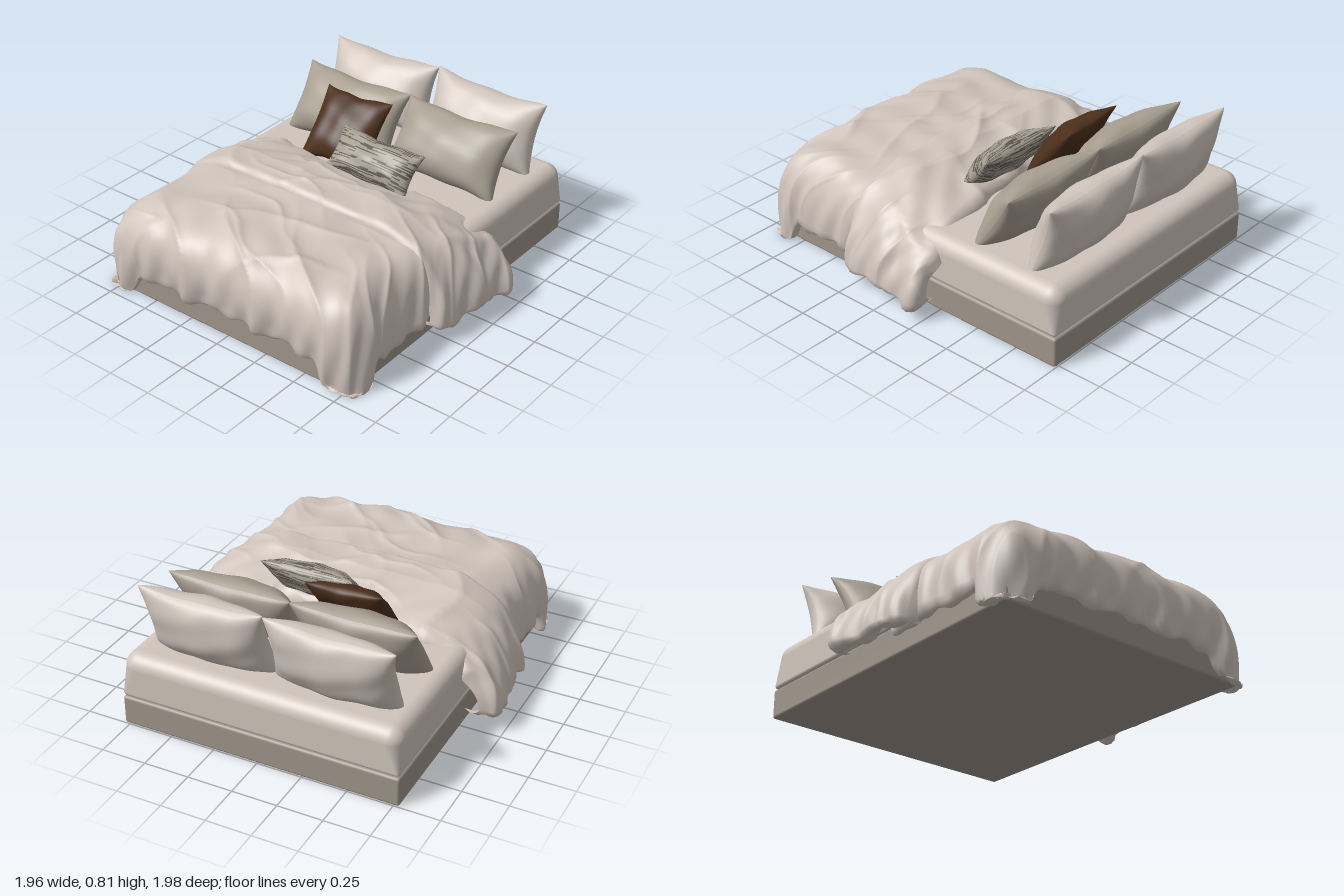
import * as THREE from 'three';
import { mergeGeometries } from 'three/addons/utils/BufferGeometryUtils.js';
import { RoundedBoxGeometry } from 'three/addons/geometries/RoundedBoxGeometry.js';

const { abs, sin, cos, min, max, pow, sign, sqrt, PI } = Math;

const paint = (name, color, side = THREE.FrontSide) => {
  const m = new THREE.MeshStandardMaterial({ color, side });
  m.name = name;
  return m;
};

// Indexed grid surface; fn(u, v) with u, v in 0..1 returns [x, y, z]
function surface(nu, nv, fn) {
  const pos = [], idx = [];
  for (let j = 0; j <= nv; j++)
    for (let i = 0; i <= nu; i++) pos.push(...fn(i / nu, j / nv));
  for (let j = 0; j < nv; j++)
    for (let i = 0; i < nu; i++) {
      const a = j * (nu + 1) + i, b = a + 1, d = a + nu + 1, c = d + 1;
      idx.push(a, b, c, a, c, d);
    }
  const g = new THREE.BufferGeometry();
  g.setAttribute('position', new THREE.Float32BufferAttribute(pos, 3));
  g.setIndex(idx);
  g.computeVertexNormals();
  return g;
}

// Push vertices along their normals to form soft folds
function wrinkle(g, rule) {
  const p = g.attributes.position, n = g.attributes.normal;
  for (let i = 0; i < p.count; i++) {
    const x = p.getX(i), y = p.getY(i), z = p.getZ(i), d = rule(x, y, z);
    p.setXYZ(i, x + n.getX(i) * d, max(0, y + n.getY(i) * d), z + n.getZ(i) * d);
  }
  g.computeVertexNormals();
  return g;
}

// Meandering creases plus pleats that deepen towards the hem
const crease = (t) => pow(1 - abs(sin(t)), 3);
function folds(x, y, z) {
  const w = z + 0.16 * sin(2.6 * x + 1) + 0.05 * sin(8 * x + 5 * z);
  const q = x + 0.22 * sin(3 * z + 0.6) + 0.04 * sin(11 * z);
  const low = min(1, max(0, (0.5 - y) / 0.3));
  return 0.018 * crease(9 * w + 3 * x) * (0.5 + 0.5 * sin(5 * q))
    + 0.018 * crease(7 * q - 4 * z) * (0.5 + 0.5 * sin(6 * w + 2))
    + 0.012 * crease(13 * w - 8 * x + 1) * (0.5 + 0.5 * sin(7 * q + 1))
    + 0.005 * sin(17 * w - 7 * x) + 0.004 * sin(25 * q + 11 * z)
    + low * (0.007 * sin(27 * (x + z) + 6 * y) + 0.006 * sin(43 * (z - x) + 9 * y)) - 0.007;
}

// Quarter superellipse: r = 0 on top, r = 1 at the hem; gives [outward, drop] as fractions
const bend = (r, n) => {
  const t = min(1, r) * PI / 2;
  return [pow(sin(t), 2 / n), 1 - pow(max(0, cos(t)), 2 / n)];
};

// Lower duvet, draped over the foot and both sides, its corners reaching the floor
function duvetGeometry() {
  return wrinkle(surface(130, 140, (u, v) => {
    const s = v * 2 - 1, e = abs(s);
    const a = min(1, max(0, (e - 0.42) / 0.54)), b = min(1, max(0, (u - 0.5) / 0.46));
    const ca = max(0, (e - 0.96) / 0.04), cb = max(0, (u - 0.96) / 0.04);
    const r = pow(pow(a, 2.5) + pow(b, 2.5), 0.4), k = pow(pow(a, 5) + pow(b, 5), 0.2) || 1;
    const [o, d] = bend(r, 2.8), out = o * (1 + 0.2 * max(0, r - 1));
    const lobe = THREE.MathUtils.smoothstep(min(a, b), 0.12, 0.45);
    const flat = 0.52 * min(1, e / 0.42);
    const x = flat + 0.31 * out * a / k - 0.06 * ca;
    const z = 0.1 + 0.6 * min(1, u / 0.5) + (0.29 * out - 0.04 * d * d) * b / k - 0.06 * cb;
    const hem = 0.12 + 0.025 * b - 0.135 * lobe;
    const top = 0.54 - 0.08 * flat * flat;
    const y = top - (top - hem) * d - 0.02 * sin(max(ca, cb) * PI)
      + d * 0.01 * sin(19 * x + 14 * z);
    return [sign(s) * x, max(0.008, y), z];
  }), folds);
}

// Turned-back upper half of the duvet, wider and thicker
function foldedGeometry() {
  return wrinkle(surface(72, 140, (u, v) => {
    const s = v * 2 - 1, e = abs(s);
    const t = min(1, min(u, 1 - u) / 0.1), puff = 1 - sqrt(1 - (1 - t) * (1 - t));
    const back = -0.15 - 0.11 * min(1, e * 1.5);
    const z = back + (0.33 - back) * u;
    const [o, d] = bend(max(0, (e - 0.4) / 0.53), 2.05), c = max(0, (e - 0.93) / 0.07);
    const top = 0.572 - 0.33 * max(0, 0.13 - z) - 0.07 * puff;
    const hem = 0.095 + 0.015 * sin(17 * z + s) + 0.02 * puff;
    const R = 0.51 - 0.12 * max(0, z + 0.1) - 0.08 * puff;
    const x = 0.45 * min(1, e / 0.4) + R * o - 0.08 * c;
    return [sign(s) * x, top - (top - hem) * d - 0.02 * sin(c * PI), z];
  }), folds);
}

// Mattress: plump upper edge, tight lower edge
function mattressGeometry(w, h, l, r, tight) {
  const g = new RoundedBoxGeometry(w, h, l, 6, r), p = g.attributes.position;
  const squeeze = (c, size) =>
    sign(c) * (size / 2 - tight + (abs(c) - size / 2 + r) * tight / r);
  for (let i = 0; i < p.count; i++)
    if (p.getY(i) < 0)
      p.setXYZ(i, squeeze(p.getX(i), w), squeeze(p.getY(i), h), squeeze(p.getZ(i), l));
  return g;
}

// Stuffed cushion with pulled-in edges, pointed corners and a fuller lower front
function cushionGeometry(w, h, d, nu, nv, seed) {
  const half = (f) => surface(nu, nv, (i, j) => {
    const u = f * sin((i - 0.5) * PI), v = sin((j - 0.5) * PI);
    const pu = 1 - u * u, pv = 1 - v * v;
    const soft = 0.007 * sin(6 * u + 3 * v + seed) * sin(4 * v - 3 * u + seed) * min(1, 3 * pu * pv);
    const full = d / 2 * (1 + 0.12 * f) * (1 - 0.15 * v);
    return [
      w / 2 * u * (1 - 0.09 * pv),
      h / 2 * v * (1 - 0.11 * pu) + 0.004 * sin(7 * u + seed) * abs(v),
      f * (full * pow(max(0, pu * pv), 0.45) + soft),
    ];
  });
  return mergeGeometries([half(1), half(-1)]);
}

// Split a cushion's faces into light cloth and short dark woven dashes
function weave(g, nu, nv) {
  const idx = g.index.array, parts = [[], []];
  let seed = 7, run = 0, dark = 0;
  const rnd = () => (seed = (seed * 16807) % 2147483647) / 2147483647;
  for (let q = 0; q < 2 * nu * nv; q++) {
    if (run-- <= 0) {
      dark = rnd() < 0.38 ? 1 : 0;
      run = 1 + rnd() * 8;
    }
    for (let k = 0; k < 6; k++) parts[dark].push(idx[q * 6 + k]);
  }
  g.setIndex([...parts[0], ...parts[1]]);
  g.addGroup(0, parts[0].length, 0);
  g.addGroup(parts[0].length, parts[1].length, 1);
  return g;
}

export function createModel() {
  const bed = new THREE.Group();
  bed.name = 'bed';
  const linen = paint('linen', 0xd0c5bc);
  const cloth = paint('duvetLinen', 0xd0c4bb, THREE.DoubleSide);
  const baseCloth = paint('baseCloth', 0x9f958a);
  const taupe = paint('taupe', 0xa89e91);
  const brown = paint('brown', 0x4c2f1b);
  const wovenLight = paint('wovenLight', 0xa59d90);
  const wovenDark = paint('wovenDark', 0x5f5850);

  const add = (name, geo, mat, pos = [0, 0, 0], rot = [0, 0, 0]) => {
    const m = new THREE.Mesh(geo, mat);
    m.name = name;
    m.position.set(...pos);
    m.rotation.set(...rot);
    bed.add(m);
  };

  // Base and mattress
  add('base', new RoundedBoxGeometry(1.56, 0.165, 1.92, 3, 0.015), baseCloth, [0, 0.0825, -0.04]);
  add('mattress', mattressGeometry(1.56, 0.25, 1.9, 0.08, 0.02), linen, [0, 0.295, -0.05]);

  // Bedding
  add('duvet', duvetGeometry(), cloth);
  add('foldedDuvet', foldedGeometry(), cloth);

  // Two pairs of sleeping pillows
  for (const side of [-1, 1]) {
    const label = side > 0 ? 'left' : 'right';
    add(label + 'BackPillow', cushionGeometry(0.71, 0.42, 0.27, 28, 22, side * 2), linen,
      [side * 0.348, 0.598, -0.835], [-0.32, 0, side * -0.02]);
    add(label + 'FrontPillow', cushionGeometry(0.7, 0.41, 0.25, 28, 22, side * 3 + 1), taupe,
      [side * 0.345, 0.57, -0.525], [-0.58, 0, 0]);
  }

  // Accent cushions
  add('squareCushion', cushionGeometry(0.42, 0.42, 0.16, 24, 24, 4), brown,
    [-0.19, 0.6, -0.305], [-0.72, 0.05, 0.04]);
  add('lumbarCushion', weave(cushionGeometry(0.54, 0.26, 0.16, 44, 56, 5), 44, 56),
    [wovenLight, wovenDark], [0.12, 0.578, -0.145], [-0.75, 0, -0.02]);

  return bed;
}
